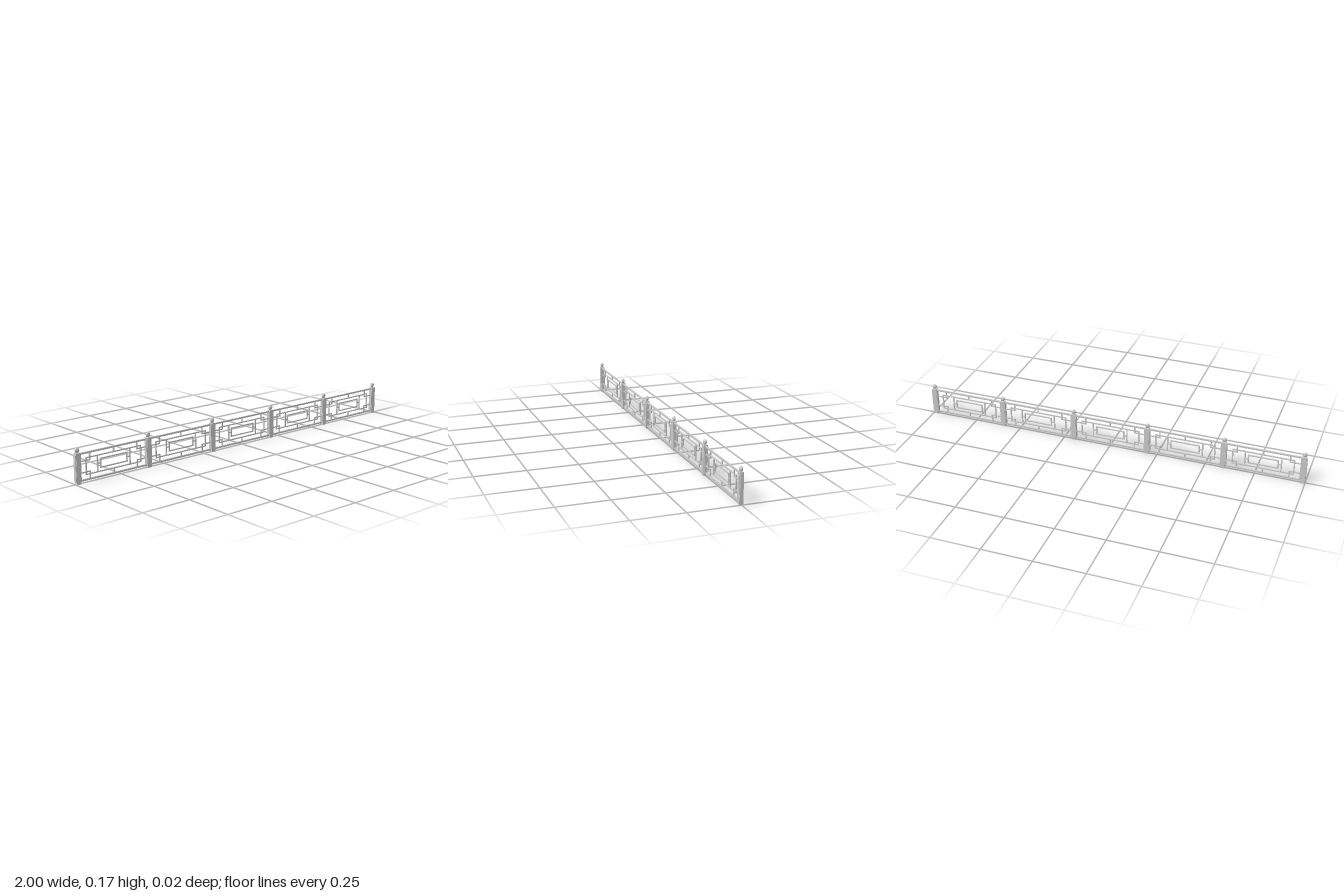
import * as THREE from 'three';

const material = new THREE.MeshStandardMaterial({ color: 0xcccccc });
const PITCH = 0.394, BAYS = 5, MID_Y = 0.0755;

// Box given by its centre and size
function box(parent, name, x, y, z, w, h, d) {
  const mesh = new THREE.Mesh(new THREE.BoxGeometry(w, h, d), material);
  mesh.position.set(x, y, z);
  mesh.name = name;
  parent.add(mesh);
}

// Lattice bars given by their two end points
const T = 0.0055;
function horizontal(parent, name, x0, x1, y) {
  box(parent, name, (x0 + x1) / 2, MID_Y + y, 0, Math.abs(x1 - x0) + T, T, T);
}
function vertical(parent, name, x, y0, y1) {
  box(parent, name, x, MID_Y + (y0 + y1) / 2, 0, T, Math.abs(y1 - y0) + T, T);
}

function createPost() {
  const post = new THREE.Group();
  post.name = 'post';
  box(post, 'postShaft', 0, 0.073, 0, 0.023, 0.146, 0.02);
  // Raised panels on the two sides
  for (const s of [-1, 1]) box(post, 'postPanel', s * 0.013, 0.076, 0, 0.004, 0.122, 0.016);
  // Egg-shaped finial, broader along the railing than across it
  const finial = new THREE.Mesh(new THREE.SphereGeometry(1, 24, 16), material);
  finial.name = 'finial';
  finial.scale.set(0.012, 0.0125, 0.008);
  finial.position.y = 0.1585;
  post.add(finial);
  return post;
}

function createBay() {
  const bay = new THREE.Group();
  bay.name = 'railingBay';
  const half = PITCH / 2 - 0.012;
  const railY = 0.063;              // rails, above and below the middle
  const frameX = 0.152, frameY = 0.039;
  const cornerX = 0.131, cornerY = 0.027;
  const innerX = 0.073, innerY = 0.021;
  const crossX = 0.09;

  for (const s of [-1, 1]) {
    box(bay, s > 0 ? 'topRail' : 'bottomRail', 0, MID_Y + s * railY, 0, half * 2, 0.008, 0.007);
    // Large frame and central rectangle
    horizontal(bay, 'frameBar', -frameX, frameX, s * frameY);
    vertical(bay, 'frameUpright', s * frameX, -frameY, frameY);
    horizontal(bay, 'innerBar', -innerX, innerX, s * innerY);
    vertical(bay, 'innerUpright', s * innerX, -innerY, innerY);
    // Uprights beside the rectangle and the short ties
    vertical(bay, 'crossUpright', s * crossX, -frameY, frameY);
    horizontal(bay, 'sideTie', s * innerX, s * crossX, 0);
    vertical(bay, 'middleTie', 0, s * frameY, s * railY);
    // Corner brackets overlapping the frame corners
    for (const t of [-1, 1]) {
      horizontal(bay, 'cornerBar', s * half, s * cornerX, t * cornerY);
      vertical(bay, 'cornerUpright', s * cornerX, t * cornerY, t * railY);
    }
  }
  return bay;
}

export function createModel() {
  const model = new THREE.Group();
  model.name = 'latticeRailing';
  for (let i = 0; i <= BAYS; i++) {
    const post = createPost();
    post.position.x = (i - BAYS / 2) * PITCH;
    model.add(post);
  }
  for (let i = 0; i < BAYS; i++) {
    const bay = createBay();
    bay.position.x = (i - (BAYS - 1) / 2) * PITCH;
    model.add(bay);
  }
  return model;
}
